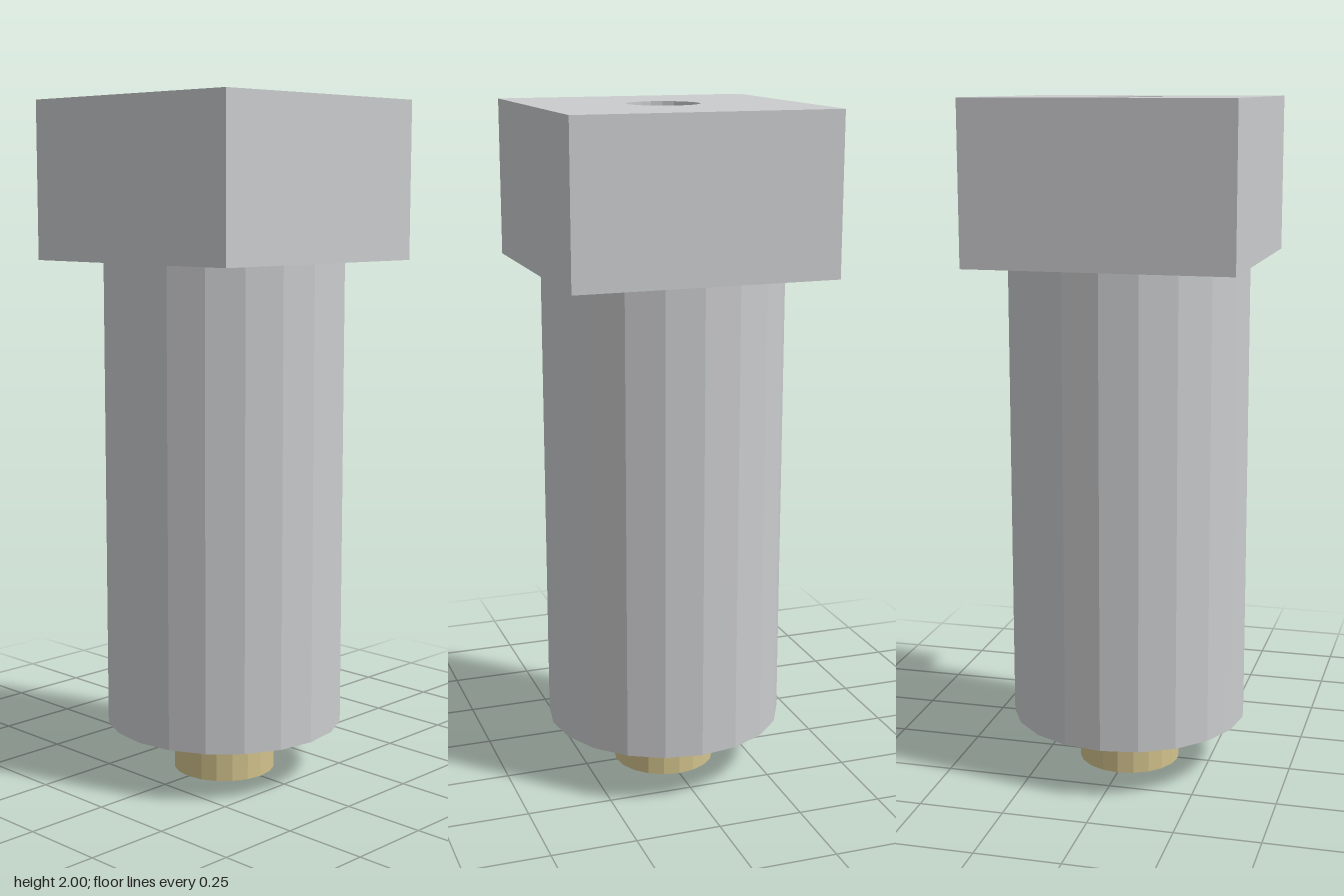
import * as THREE from 'three';

const SIDES = 20;

// Regular polygon outline used for every round part and bore
function ring(radius) {
  return Array.from({ length: SIDES }, (_, i) => {
    const a = (i / SIDES) * Math.PI * 2;
    return new THREE.Vector2(Math.cos(a) * radius, Math.sin(a) * radius);
  });
}

// Upright prism from an outline, with an optional round bore
function prism(name, outline, bore, bottom, top, material) {
  const shape = new THREE.Shape(outline);
  if (bore) shape.holes.push(new THREE.Path(ring(bore)));
  const geometry = new THREE.ExtrudeGeometry(shape, { depth: top - bottom, bevelEnabled: false });
  geometry.rotateX(-Math.PI / 2).translate(0, bottom, 0);
  const mesh = new THREE.Mesh(geometry, material);
  mesh.name = name;
  return mesh;
}

export function createModel() {
  const steel = new THREE.MeshStandardMaterial({ color: 0xcbccce });
  steel.name = 'steel';
  const brass = new THREE.MeshStandardMaterial({ color: 0xd2c28c });
  brass.name = 'brass';

  const h = 0.384;
  const square = [[-h, -h], [h, -h], [h, h], [-h, h]].map(([x, y]) => new THREE.Vector2(x, y));

  const model = new THREE.Group();
  model.name = 'fitting';
  model.add(
    // Square head with a bore down to the body
    prism('head', square, 0.105, 1.54, 2, steel),
    // Faceted barrel, closed at both ends
    prism('body', ring(0.354), 0, 0.155, 1.54, steel),
    // Short tube at the foot
    prism('tip', ring(0.153), 0.076, 0, 0.155, brass),
  );
  return model;
}
